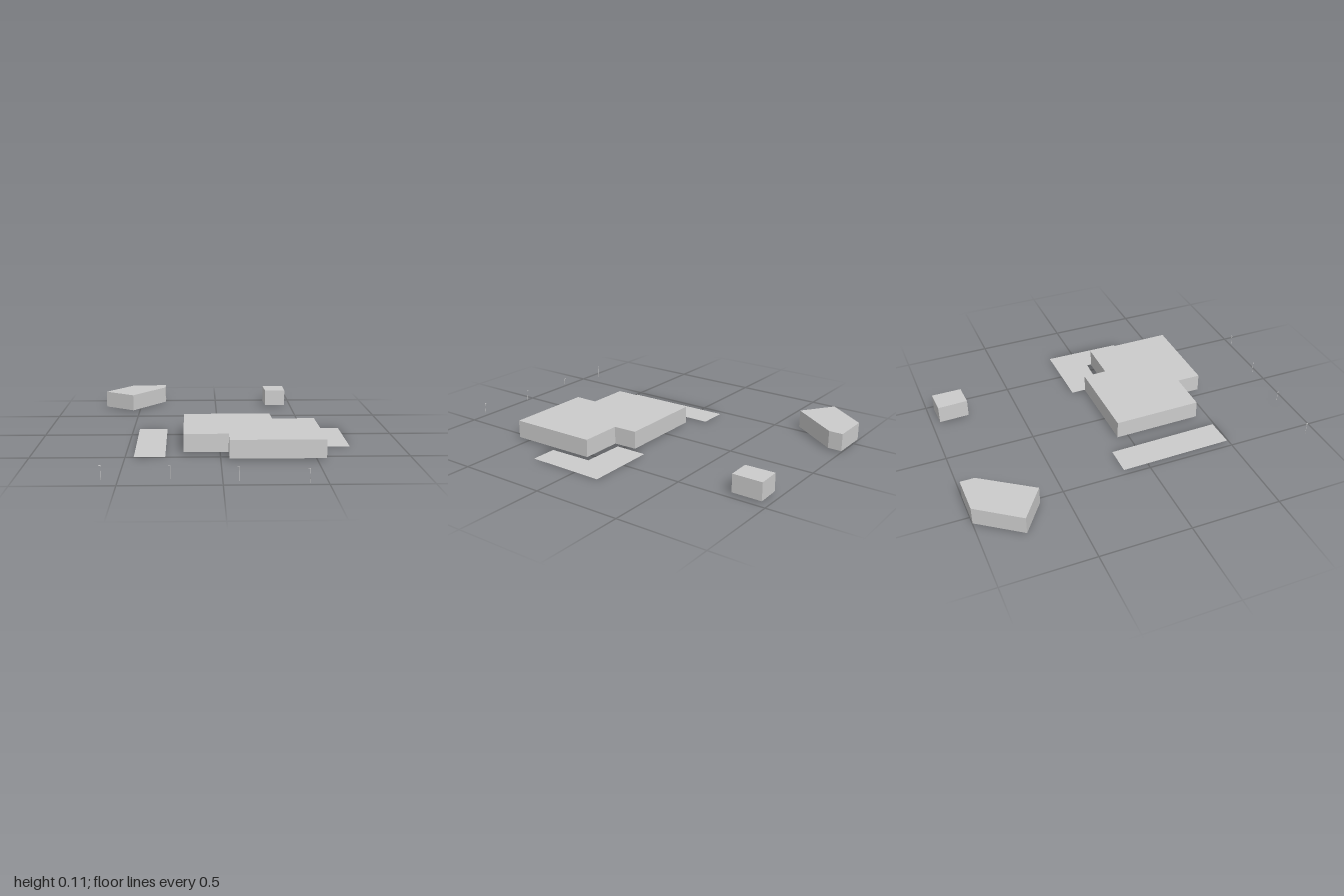
import * as THREE from 'three';

const BASE = 0.008, ROOF = 0.108;
const material = new THREE.MeshStandardMaterial({ color: 0xcccccc, side: THREE.DoubleSide, flatShading: true });

// Flat horizontal polygon from [x, z] corners, facing up.
function slab(name, corners, y) {
  const shape = new THREE.Shape(corners.map(([x, z]) => new THREE.Vector2(x, -z)));
  const mesh = new THREE.Mesh(new THREE.ShapeGeometry(shape).rotateX(-Math.PI / 2), material);
  mesh.position.y = y;
  mesh.name = name;
  return mesh;
}

// Open-bottomed block: one panelled wall per side plus a flat roof.
function building(name, corners) {
  const group = new THREE.Group();
  group.name = name;
  group.add(slab('roof', corners, ROOF));
  // Corners run clockwise seen from above, so walls go from the next corner back to this one.
  corners.forEach(([x2, z2], i) => {
    const [x1, z1] = corners[(i + 1) % corners.length];
    const length = Math.hypot(x2 - x1, z2 - z1);
    const columns = Math.max(1, Math.round(length / 0.025));
    const wall = new THREE.Mesh(new THREE.PlaneGeometry(length, ROOF - BASE, columns, 4), material);
    wall.position.set((x1 + x2) / 2, (BASE + ROOF) / 2, (z1 + z2) / 2);
    wall.rotation.y = Math.atan2(z2 - z1, x1 - x2) + Math.PI;
    wall.name = 'wall';
    group.add(wall);
  });
  return group;
}

// Thin street lamp with a short arm at the top.
function streetLamp(x, z) {
  const group = new THREE.Group();
  group.name = 'streetLamp';
  const height = 0.08 - BASE;
  const post = new THREE.Mesh(new THREE.CylinderGeometry(0.001, 0.001, height, 6), material);
  post.position.y = BASE + height / 2;
  post.name = 'post';
  const arm = new THREE.Mesh(new THREE.BoxGeometry(0.011, 0.002, 0.003), material);
  arm.position.set(-0.0045, 0.079, 0);
  arm.name = 'arm';
  group.add(post, arm);
  group.position.set(x, 0, z);
  return group;
}

export function createModel() {
  const model = new THREE.Group();
  model.name = 'cityBlock';

  // Buildings
  model.add(
    building('mainBuilding', [
      [-0.2, -0.065], [0.3, -0.07], [0.305, 0.065], [0.545, 0.065],
      [0.55, 0.565], [0.045, 0.565], [0.045, 0.43], [-0.195, 0.43],
    ]),
    building('angledBuilding', [[-0.555, -1], [-0.34, -1], [-0.34, -0.92], [-0.54, -0.64], [-0.725, -0.77]]),
    building('smallBuilding', [[0.325, -0.955], [0.46, -0.96], [0.46, -0.79], [0.33, -0.785]]),
  );

  // Paved ground patches beside the main building
  model.add(
    slab('cornerPavement', [
      [0.315, -0.145], [0.72, -0.15], [0.715, 0.295], [0.565, 0.295], [0.56, 0.045], [0.315, 0.04],
    ], 0),
    slab('sidePavement', [[-0.465, -0.14], [-0.3, -0.14], [-0.29, 0.49], [-0.455, 0.495]], 0),
  );

  // Row of lamps along the street
  for (const [x, z] of [[-0.577, 0.93], [-0.248, 0.942], [0.078, 0.965], [0.407, 0.997]]) {
    model.add(streetLamp(x, z));
  }
  return model;
}
